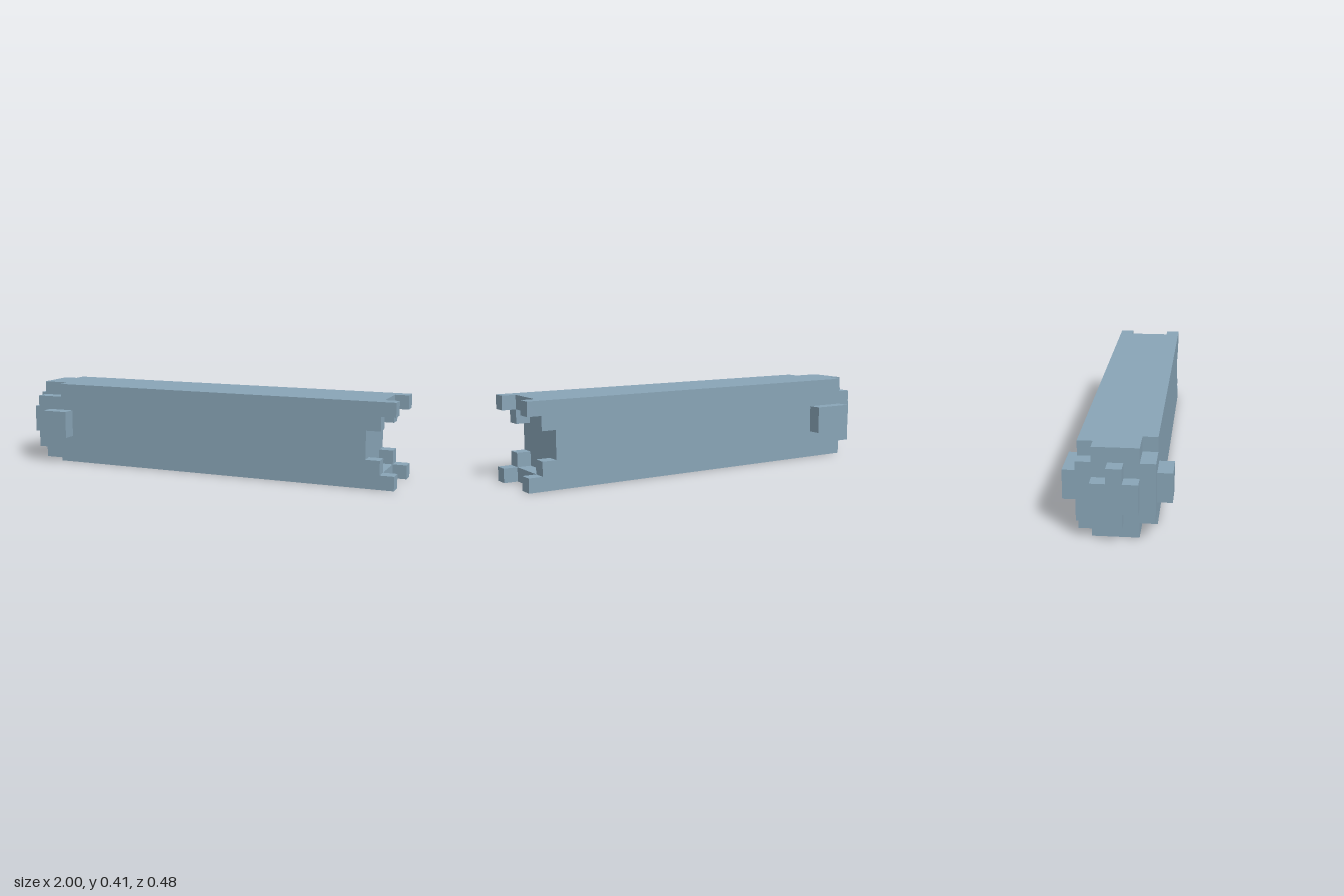
import * as THREE from 'three';

const U = 2 / 29; // one grid block: the beam is 29 blocks long

export function createModel() {
  const model = new THREE.Group();
  model.name = 'blockBeam';
  const steel = new THREE.MeshStandardMaterial({ color: 0x88a4b6 });
  steel.name = 'blue grey';

  const add = (name, geometry) => {
    const mesh = new THREE.Mesh(geometry, steel);
    mesh.name = name;
    model.add(mesh);
  };

  // Side profile in blocks (x from the plug end, y from the ground), extruded from z0 to z1
  const slab = (name, points, z0, z1) => {
    const shape = new THREE.Shape(points.map(([x, y]) => new THREE.Vector2(x * U - 1, y * U)));
    const geometry = new THREE.ExtrudeGeometry(shape, { depth: (z1 - z0) * U, bevelEnabled: false });
    add(name, geometry.translate(0, 0, z0 * U));
  };

  // Box between two block corners
  const block = (name, [x0, y0, z0], [x1, y1, z1]) => {
    const geometry = new THREE.BoxGeometry((x1 - x0) * U, (y1 - y0) * U, (z1 - z0) * U);
    add(name, geometry.translate((x0 + x1) * U / 2 - 1, (y0 + y1) * U / 2, (z0 + z1) * U / 2));
  };

  // Core with a recessed socket at the +x end
  slab('core', [[1, 0], [28, 0], [28, 1], [27, 1], [27, 5], [28, 5], [28, 6], [1, 6]], -1.5, 1.5);

  // Side walls: stepped notch at the socket end, cut corners at the plug end
  const wall = (cut) => [
    [cut, 0], [29, 0], [29, 1], [28, 1], [28, 2], [27, 2], [27, 4], [28, 4], [28, 5], [29, 5], [29, 6],
    [cut, 6], [cut, 5], [1, 5], [1, 1], [cut, 1],
  ];
  slab('frontWall', wall(3), 1.5, 2.5);
  slab('backWall', wall(2), -2.5, -1.5);

  // Cross-shaped plug at the -x end
  block('plugColumn', [0, 1, -0.5], [1, 5, 0.5]);
  block('plugFrontArm', [0, 2, 0.5], [1, 4, 1.5]);
  block('plugBackArm', [0, 2, -1.5], [1, 4, -0.5]);

  // Side pegs, the back one longer
  block('frontPeg', [2, 2, 2.5], [4, 4, 3.5]);
  block('backPeg', [2, 2, -3.5], [5, 4, -2.5]);

  return model;
}
